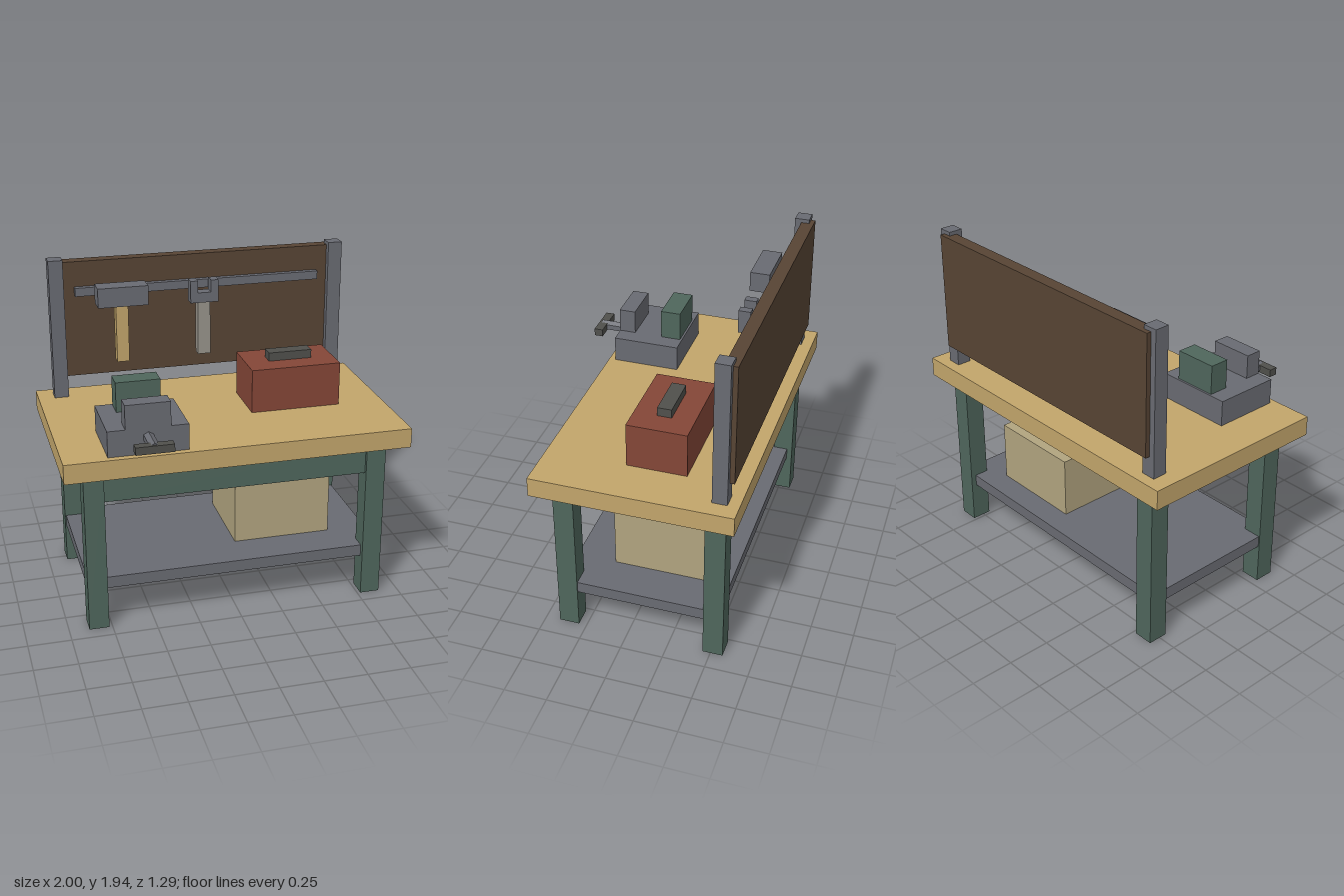
import * as THREE from 'three';

const mat = (color) => new THREE.MeshStandardMaterial({ color, flatShading: true });
const wood = mat(0xc2a56b), green = mat(0x4f665c), metal = mat(0x696b72), brown = mat(0x574434);
const red = mat(0x844637), cardboard = mat(0xb1a47f), pale = mat(0x97938a), dark = mat(0x50504c);

// Box given by its extents along each axis
function block(parent, name, material, [x0, x1], [y0, y1], [z0, z1]) {
  const mesh = new THREE.Mesh(new THREE.BoxGeometry(x1 - x0, y1 - y0, z1 - z0), material);
  mesh.position.set((x0 + x1) / 2, (y0 + y1) / 2, (z0 + z1) / 2);
  mesh.name = name;
  parent.add(mesh);
  return mesh;
}

function group(parent, name) {
  const g = new THREE.Group();
  g.name = name;
  parent.add(g);
  return g;
}

export function createModel() {
  const model = new THREE.Group();
  model.name = 'workbench';
  const top = 1.088;

  // Bench: top, four legs, front apron and lower shelf
  const bench = group(model, 'bench');
  block(bench, 'benchTop', wood, [-1, 1], [0.973, top], [-0.645, 0.505]);
  for (const x of [-0.827, 0.827])
    for (const z of [-0.513, 0.356])
      block(bench, z > 0 ? 'frontLeg' : 'backLeg', green, [x - 0.058, x + 0.058], [0, 0.973], [z - 0.059, z + 0.059]);
  block(bench, 'apron', green, [-0.8, 0.8], [0.79, 0.973], [0.335, 0.395]);
  block(bench, 'shelf', metal, [-0.878, 0.878], [0.24, 0.31], [-0.54, 0.385]);
  block(model, 'storageBox', cardboard, [0.053, 0.64], [0.31, 0.676], [-0.395, 0.149]);

  // Tool board with posts and hanging rail
  const board = group(model, 'toolBoard');
  for (const x of [-0.86, 0.86])
    block(board, 'post', metal, [x - 0.043, x + 0.043], [top, 1.936], [-0.58, -0.495]);
  block(board, 'backPanel', brown, [-0.869, 0.869], [1.208, 1.914], [-0.607, -0.533]);
  block(board, 'rail', metal, [-0.751, 0.751], [1.711, 1.762], [-0.535, -0.498]);

  // Hammer
  const hammer = group(model, 'hammer');
  block(hammer, 'hammerHead', metal, [-0.641, -0.341], [1.674, 1.791], [-0.466, -0.351]);
  block(hammer, 'hammerHandle', wood, [-0.526, -0.452], [1.313, 1.744], [-0.481, -0.414]);

  // Open-ended wrench with a U-shaped head
  const wrench = group(model, 'wrench');
  const u = new THREE.Shape([
    [-0.075, 1.647], [0.096, 1.647], [0.096, 1.782], [0.05, 1.782], [0.05, 1.708],
    [-0.03, 1.708], [-0.03, 1.782], [-0.075, 1.782],
  ].map(([x, y]) => new THREE.Vector2(x, y)));
  const head = new THREE.Mesh(new THREE.ExtrudeGeometry(u, { depth: 0.069, bevelEnabled: false }), metal);
  head.position.z = -0.469;
  head.name = 'wrenchHead';
  wrench.add(head);
  block(wrench, 'wrenchHandle', pale, [-0.029, 0.048], [1.32, 1.66], [-0.473, -0.413]);

  // Vise: base, jaws, hexagonal screw and cross bar
  const vise = group(model, 'vise');
  block(vise, 'viseBase', metal, [-0.751, -0.296], [top, 1.24], [0.072, 0.466]);
  block(vise, 'frontJaw', metal, [-0.651, -0.396], [1.24, 1.382], [0.37, 0.467]);
  block(vise, 'backJaw', green, [-0.651, -0.396], [1.24, 1.415], [0.084, 0.203]);
  const screw = new THREE.Mesh(new THREE.CylinderGeometry(0.032, 0.032, 0.18, 6), metal);
  screw.rotation.x = Math.PI / 2;
  screw.position.set(-0.523, 1.186, 0.54);
  screw.name = 'viseScrew';
  vise.add(screw);
  block(vise, 'viseBar', dark, [-0.631, -0.416], [1.163, 1.208], [0.592, 0.644]);

  // Toolbox with lid handle
  const toolbox = group(model, 'toolbox');
  block(toolbox, 'toolboxBody', red, [0.184, 0.723], [top, 1.35], [-0.307, 0.038]);
  block(toolbox, 'toolboxHandle', dark, [0.325, 0.587], [1.35, 1.401], [-0.177, -0.095]);

  return model;
}
